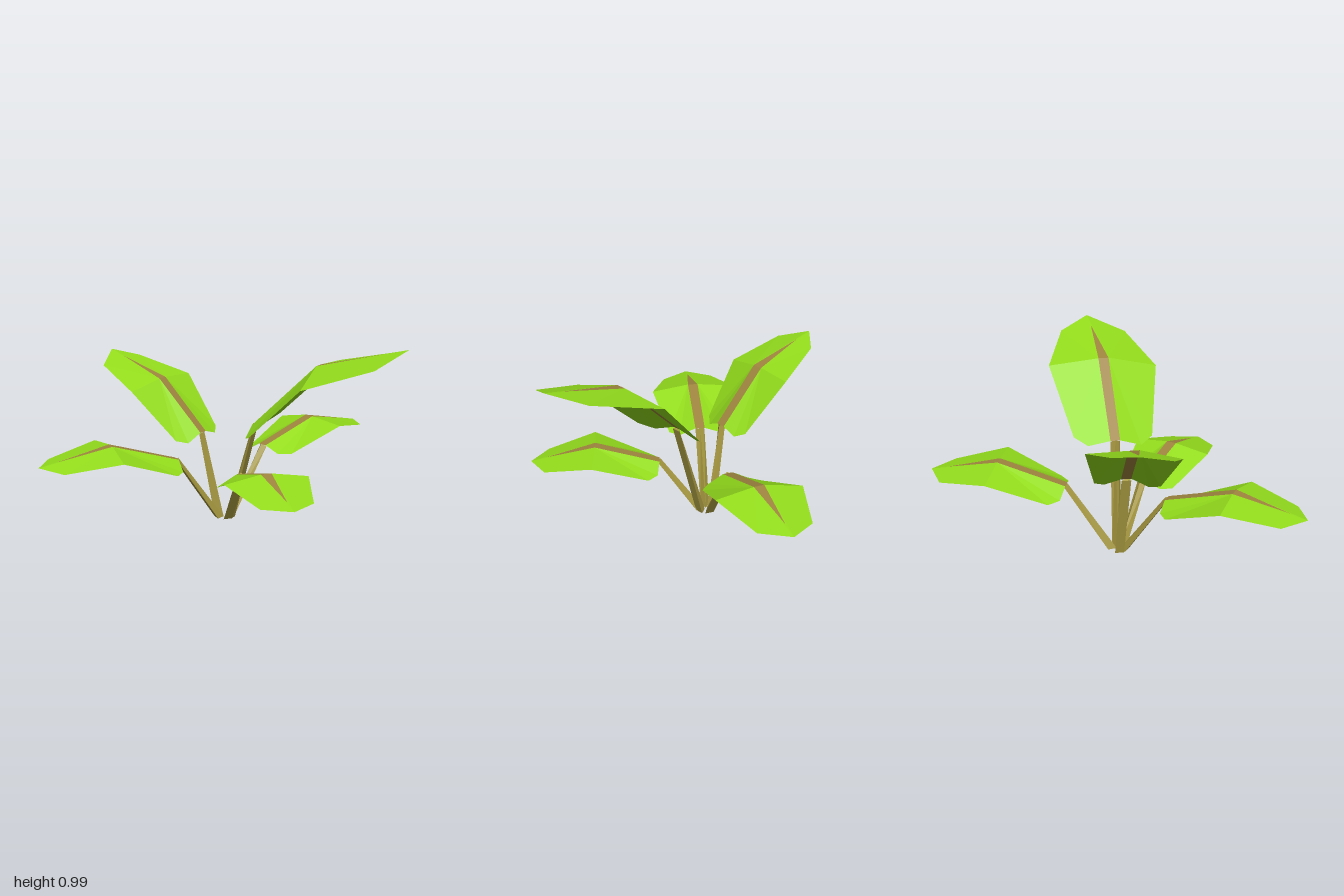
import * as THREE from 'three';

const leafGreen = new THREE.MeshStandardMaterial({ color: 0x93dc1c, side: THREE.DoubleSide, flatShading: true });
leafGreen.name = 'leaf green';
const ribBrown = new THREE.MeshStandardMaterial({ color: 0x9e843f, side: THREE.DoubleSide, flatShading: true });
ribBrown.name = 'rib brown';
const stemOlive = new THREE.MeshStandardMaterial({ color: 0xa4963f, side: THREE.DoubleSide, flatShading: true });
stemOlive.name = 'stem olive';

const CENTRE_X = -0.12;

// Each leaf: tip ground position [x, z]; base, bend and tip as [distance out, height];
// roll tilts it sideways, shift moves it sideways, skew turns it about its stem
const LEAVES = [
  { name: 'backLeaf', to: [-0.22, -1.0], base: [0.275, 0.355], bend: [0.635, 0.465], tip: [1.005, 0.39], width: 1, roll: -0.04, shift: 0, skew: 0 },
  { name: 'frontLeaf', to: [-0.30, 0.995], base: [0.275, 0.355], bend: [0.635, 0.465], tip: [1.012, 0.39], width: 1, roll: -0.04, shift: 0, skew: 0 },
  { name: 'lowLeftLeaf', to: [0.78, 0.24], base: [0.25, 0.305], bend: [0.59, 0.395], tip: [0.932, 0.305], width: 0.95, roll: 0, shift: 0, skew: 0 },
  { name: 'tallLeftLeaf', to: [0.79, -0.44], base: [0.19, 0.54], bend: [0.55, 0.88], tip: [1.012, 0.99], width: 1.3, roll: 0.09, shift: -0.02, skew: -0.09 },
  { name: 'tallRightLeaf', to: [-0.80, 0.29], base: [0.12, 0.46], bend: [0.38, 0.73], tip: [0.74, 0.855], width: 1, roll: -0.07, shift: 0.025, skew: 0.11 },
];

// Flat-faced mesh from triangles of Vector3 corners
function facetMesh(name, triangles, material) {
  const geometry = new THREE.BufferGeometry().setFromPoints(triangles.flat());
  geometry.computeVertexNormals();
  const mesh = new THREE.Mesh(geometry, material);
  mesh.name = name;
  return mesh;
}

const fan = (centre, ring) => ring.slice(1).map((p, i) => [centre, ring[i], p]);

function createLeaf({ name, to, base, bend, tip, width, roll, shift, skew }) {
  const group = new THREE.Group();
  group.name = name;
  const out = new THREE.Vector2(to[0] - CENTRE_X, to[1]).normalize();

  // u runs outward, v sideways, y up
  const place = (u, v, y) => new THREE.Vector3(CENTRE_X + out.x * u + out.y * v, y, out.y * u - out.x * v);
  // Point a fraction t along a section, moved sideways and dropped
  const onBlade = (a, b, t, v, drop) => {
    const side = v * width;
    return place(
      THREE.MathUtils.lerp(a[0], b[0], t) + skew * side,
      side + shift,
      THREE.MathUtils.lerp(a[1], b[1], t) - drop + roll * side);
  };

  const ribTip = place(
    THREE.MathUtils.lerp(bend[0], tip[0], 0.76), shift * 0.3,
    THREE.MathUtils.lerp(bend[1], tip[1], 0.76));
  const end = place(tip[0], 0, tip[1]);
  const droop = width * width;
  const ribBase = {}, ribBend = {};
  const blade = [];
  for (const s of [1, -1]) {
    ribBase[s] = place(base[0], shift + s * 0.026, base[1]);
    ribBend[s] = place(bend[0], shift + s * 0.028, bend[1]);
    const edge = [
      ribTip, end,
      onBlade(bend, tip, 0.76, s * 0.143, 0.021 * droop),
      onBlade(bend, tip, 0.03, s * 0.232, 0.03 * droop),
      onBlade(base, bend, 0.17, s * 0.166, 0.058),
      onBlade(base, bend, 0.03, s * 0.112, 0.042),
      ribBase[s],
    ];
    blade.push(...fan(ribBend[s], s > 0 ? edge : edge.reverse()));
  }
  group.add(facetMesh('blade', blade, leafGreen));

  // Midrib set into the blade
  group.add(facetMesh('midrib', [
    [ribTip, ribBend[1], ribBend[-1]],
    [ribBend[-1], ribBend[1], ribBase[1]],
    [ribBend[-1], ribBase[1], ribBase[-1]],
  ], ribBrown));

  // Three-sided stem with a flat outer face and a ridge toward the middle
  const foot = [place(0.05, 0.024, 0), place(0.008, 0, 0), place(0.05, -0.024, 0)];
  const top = [
    place(base[0] + 0.008, shift + 0.025, base[1] - 0.006),
    place(base[0] - 0.008, shift, base[1] + 0.004),
    place(base[0] + 0.008, shift - 0.025, base[1] - 0.006),
  ];
  const sides = [[foot[0], foot[2], foot[1]], [top[0], top[1], top[2]]];
  for (let i = 0; i < 3; i++) {
    const j = (i + 1) % 3;
    sides.push([foot[i], foot[j], top[j]], [foot[i], top[j], top[i]]);
  }
  // Keep every stem face pointing outward
  const middle = [...foot, ...top].reduce((sum, p) => sum.add(p), new THREE.Vector3()).divideScalar(6);
  for (const t of sides) {
    const plane = new THREE.Plane().setFromCoplanarPoints(...t);
    if (plane.distanceToPoint(middle) > 0) t.reverse();
  }
  group.add(facetMesh('stem', sides, stemOlive));
  return group;
}

export function createModel() {
  const plant = new THREE.Group();
  plant.name = 'leafyPlant';
  for (const leaf of LEAVES) plant.add(createLeaf(leaf));
  return plant;
}
